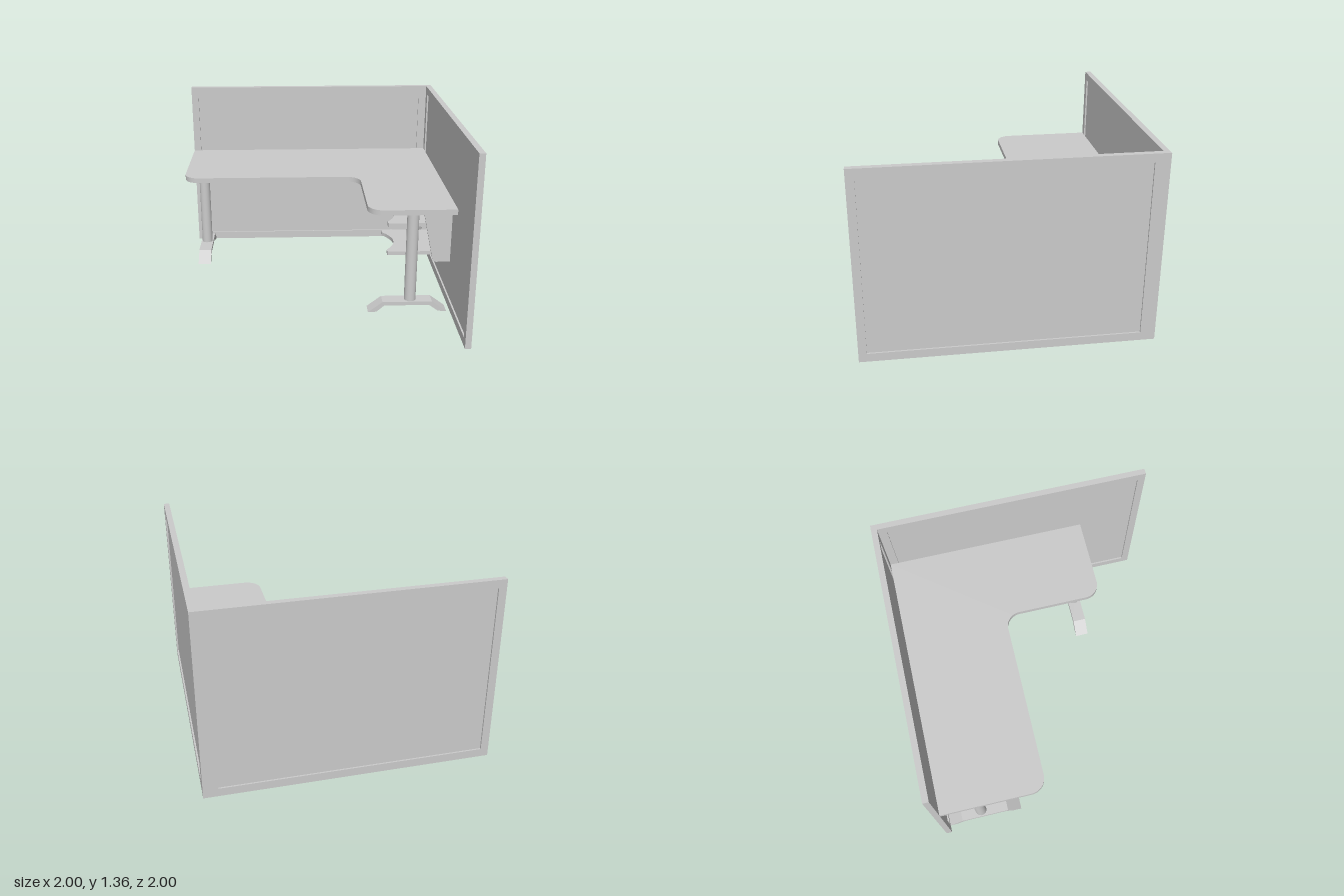
import * as THREE from 'three';

const mat = new THREE.MeshStandardMaterial({ color: 0xcccccc });

function part(name, geometry, parent, x = 0, y = 0, z = 0) {
  const mesh = new THREE.Mesh(geometry, mat);
  mesh.name = name;
  mesh.position.set(x, y, z);
  parent.add(mesh);
  return mesh;
}

const polygon = (pts) => new THREE.Shape(pts.map(([x, y]) => new THREE.Vector2(x, y)));
const extrude = (shape, depth) =>
  new THREE.ExtrudeGeometry(shape, { depth, bevelEnabled: false, curveSegments: 10 });

// Flat slab from a plan drawn in (x, z); its underside lies at y = 0
const slab = (shape, height) =>
  extrude(shape, height).rotateX(Math.PI / 2).translate(0, height, 0);

const HEIGHT = 1.355, THICK = 0.042, RECESS = 0.012;

// Framed screen: border with an opening, and a thinner infill set back on both faces
function screen(name, x0, x1, open0, open1) {
  const group = new THREE.Group();
  group.name = name;
  const border = polygon([[x0, 0], [x1, 0], [x1, HEIGHT], [x0, HEIGHT]]);
  border.holes.push(polygon([[open0, 0.06], [open0, 1.295], [open1, 1.295], [open1, 0.06]]));
  part('screenFrame', extrude(border, THICK), group);
  part('screenInfill', new THREE.BoxGeometry(open1 - open0, 1.235, THICK - 2 * RECESS), group,
    (open0 + open1) / 2, 0.6775, THICK / 2);
  return group;
}

// Column on an arched foot; the foot's short end points along local +x
function leg(name) {
  const group = new THREE.Group();
  group.name = name;
  part('legColumn', new THREE.CylinderGeometry(0.042, 0.042, 0.69, 32), group, 0, 0.433, 0);
  const foot = polygon([
    [-0.307, 0.01], [-0.245, 0.014], [-0.19, 0.062], [0.135, 0.062],
    [0.2, 0.014], [0.262, 0.01], [0.155, 0.09], [-0.203, 0.09],
  ]);
  part('legFoot', extrude(foot, 0.1), group, 0, 0, -0.05);
  return group;
}

export function createModel() {
  const model = new THREE.Group();
  model.name = 'cornerDesk';
  const inner = 1 - THICK;

  // Screens along the back and the left side
  const back = screen('backScreen', -1, inner, -0.945, 0.897);
  back.position.z = -1;
  const side = screen('sideScreen', -1, 1, -0.945, 0.897);
  side.rotation.y = Math.PI / 2;
  side.position.x = inner;
  model.add(back, side);

  // L-shaped top with rounded free corners and a filleted inside corner
  const top = new THREE.Shape();
  const r = 0.11;
  top.moveTo(-1, -inner);
  top.lineTo(inner, -inner);
  top.lineTo(inner, 0.535);
  top.lineTo(0.345 + r, 0.535);
  top.absarc(0.345 + r, 0.535 - r, r, Math.PI / 2, Math.PI, false);
  top.lineTo(0.345, -0.2 + r);
  top.absarc(0.345 - r, -0.2 + r, r, 0, -Math.PI / 2, true);
  top.lineTo(-1 + r, -0.2);
  top.absarc(-1 + r, -0.2 - r, r, Math.PI / 2, Math.PI, false);
  top.closePath();
  part('deskTop', slab(top, 0.038), model, 0, 0.777, 0);

  // Legs
  const sideLeg = leg('sideLeg');
  sideLeg.position.set(0.667, 0, 0.435);
  const backLeg = leg('backLeg');
  backLeg.position.set(-0.9, 0, -0.7);
  backLeg.rotation.y = Math.PI / 2;
  model.add(sideLeg, backLeg);

  // Tapered brackets holding two shelves under the side wing
  const bracket = polygon([
    [0.745, 0.777], [0.83, 0.375], [0.837, 0.356], [0.855, 0.35], [inner, 0.35], [inner, 0.777],
  ]);
  for (const z of [-0.08, 0.35]) part('shelfBracket', extrude(bracket, 0.02), model, 0, 0, z);

  const shelf = new THREE.Shape();
  shelf.moveTo(inner, -0.06);
  shelf.lineTo(inner, 0.35);
  shelf.lineTo(0.505, 0.35);
  shelf.lineTo(0.505, 0.31);
  shelf.quadraticCurveTo(0.64, 0.145, 0.505, -0.02);
  shelf.lineTo(0.505, -0.06);
  shelf.closePath();
  for (const y of [0.4, 0.618]) part('shelf', slab(shelf, 0.026), model, 0, y, 0);

  return model;
}
